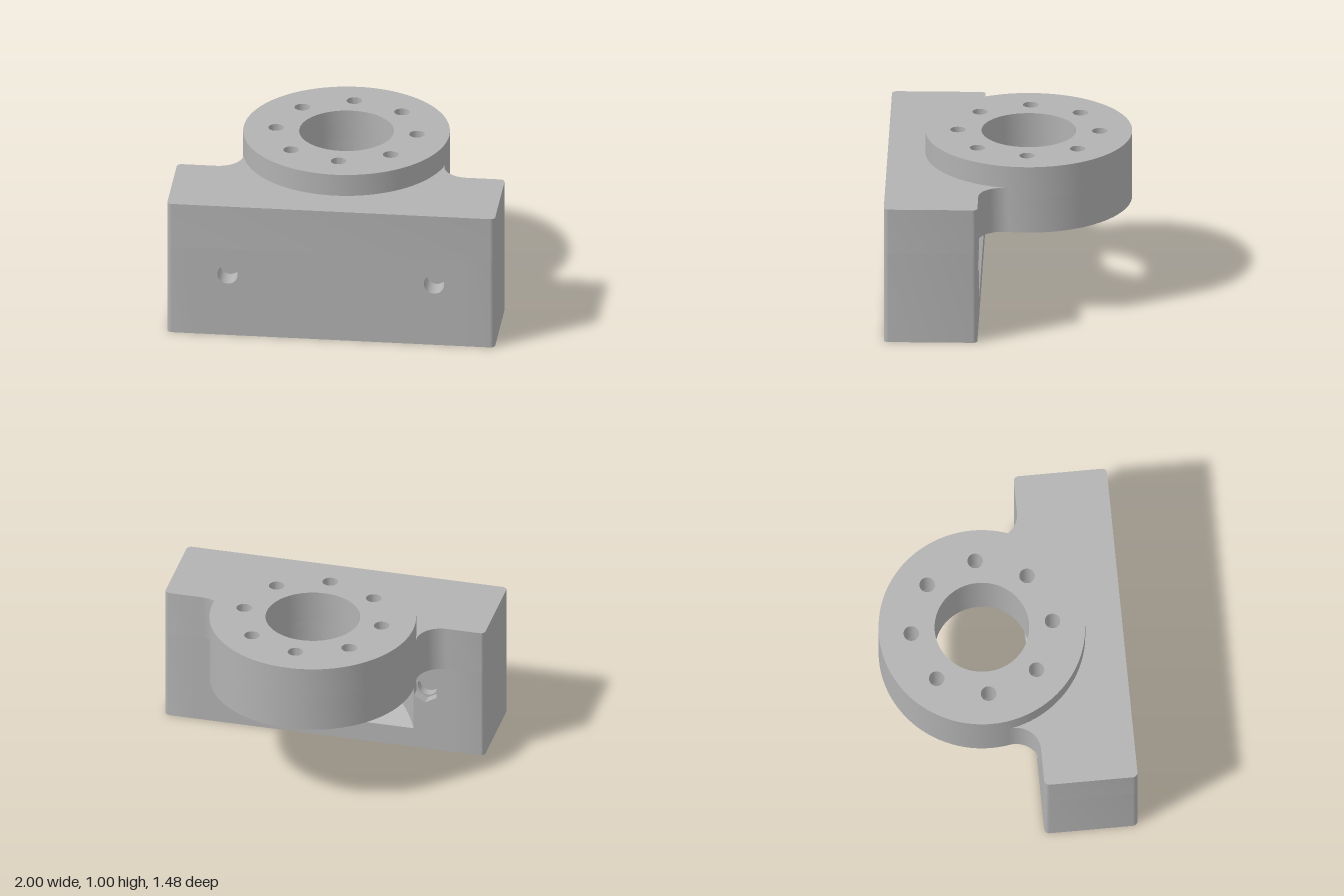
import * as THREE from 'three';
import { toCreasedNormals } from 'three/addons/utils/BufferGeometryUtils.js';

// Main dimensions
const RING_Z = -0.115, RING_R = 0.627, BORE_R = 0.287;
const BACK = 0.172, FRONT = 0.74, BLOCK_TOP = 0.86, RING_BOTTOM = 0.575;
const POCKET = { x0: 0.49, x1: 0.8, z0: 0.29, z1: 0.6 };
const SCREW_X = 0.63, SCREW_Y = 0.405, SCREW_R = 0.062;
const SCOOP_X = Math.sqrt(RING_R ** 2 - (BACK - RING_Z) ** 2);
const FILLET_R = 0.15, CORNER_R = 0.03;

export function createModel() {
  const model = new THREE.Group();
  const grey = new THREE.MeshStandardMaterial({ color: 0xb2b2b2, side: THREE.DoubleSide });
  grey.name = 'grey plastic';

  const add = (name, geometry) => {
    const mesh = new THREE.Mesh(geometry, grey);
    mesh.name = name;
    model.add(mesh);
    return mesh;
  };
  const box = (name, x0, x1, y0, y1, z0, z1) =>
    add(name, new THREE.BoxGeometry(x1 - x0, y1 - y0, z1 - z0)
      .translate((x0 + x1) / 2, (y0 + y1) / 2, (z0 + z1) / 2));

  // Points along an arc, in either direction
  const arc = (cx, cy, r, a0, a1, n) => Array.from({ length: n + 1 }, (_, i) => {
    const a = a0 + (a1 - a0) * i / n;
    return new THREE.Vector2(cx + r * Math.cos(a), cy + r * Math.sin(a));
  });
  const circle = (x, y, r, n = 32, turn = 0) =>
    new THREE.Path(arc(x, y, r, turn, turn + Math.PI * 2, n).slice(0, -1));
  const rect = (x0, x1, y0, y1) => new THREE.Shape([
    new THREE.Vector2(x0, y0), new THREE.Vector2(x1, y0),
    new THREE.Vector2(x1, y1), new THREE.Vector2(x0, y1)]);
  const extrude = (shape, depth) => toCreasedNormals(
    new THREE.ExtrudeGeometry(shape, { depth, bevelEnabled: false, curveSegments: 32 }), 0.5);
  // Plan shapes use (x, -z) and rise from y0 to y1
  const plan = (name, shape, y0, y1) =>
    add(name, extrude(shape, y1 - y0).rotateX(-Math.PI / 2).translate(0, y0, 0));
  // Upright plates use (x, y) and run from z0 to z1
  const upright = (name, shape, z0, z1) =>
    add(name, extrude(shape, z1 - z0).translate(0, 0, z0));

  // Ring in two layers: counterbored below, narrow screw holes above
  const ringLayer = (name, holeR, y0, y1) => {
    const shape = new THREE.Shape(arc(0, -RING_Z, RING_R, 0, Math.PI * 2, 96).slice(0, -1));
    shape.holes.push(circle(0, -RING_Z, BORE_R, 64));
    for (let i = 0; i < 8; i++) {
      const a = i * Math.PI / 4;
      shape.holes.push(circle(0.43 * Math.cos(a), -RING_Z + 0.43 * Math.sin(a), holeR));
    }
    plan(name, shape, y0, y1);
  };
  ringLayer('ringCounterbores', 0.088, RING_BOTTOM, 0.8);
  ringLayer('ringTop', 0.047, 0.8, 1);

  // Upper part of the block, wrapped around the ring with blended corners
  const PI = Math.PI, c = CORNER_R;
  const filletS = -BACK + FILLET_R;
  const rise = -RING_Z - filletS;
  const filletX = Math.sqrt((RING_R + FILLET_R) ** 2 - rise ** 2);
  const tilt = Math.atan2(rise, filletX);
  plan('blockTop', new THREE.Shape([
    ...arc(-1 + c, -FRONT + c, c, PI, PI * 1.5, 6),
    ...arc(1 - c, -FRONT + c, c, -PI / 2, 0, 6),
    ...arc(1 - c, -BACK - c, c, 0, PI / 2, 6),
    ...arc(filletX, filletS, FILLET_R, PI * 1.5, PI - tilt, 16),
    ...arc(0, -RING_Z, RING_R, -tilt, -PI + tilt, 64).slice(1, -1),
    ...arc(-filletX, filletS, FILLET_R, tilt, -PI / 2, 16),
    ...arc(-1 + c, -BACK - c, c, PI / 2, PI, 6),
  ]), RING_BOTTOM, BLOCK_TOP);

  // Front wall with two screw holes
  const { x0, x1, z0, z1 } = POCKET;
  const frontShape = rect(-x1, x1, 0, RING_BOTTOM);
  for (const s of [-1, 1]) frontShape.holes.push(circle(s * SCREW_X, SCREW_Y, SCREW_R));
  upright('frontWall', frontShape, z1, FRONT);

  for (const s of [-1, 1]) {
    const side = s > 0 ? 'left' : 'right';
    const span = (a, b) => (s > 0 ? [a, b] : [-b, -a]);

    // Solid end with rounded upright edges
    const end = [
      new THREE.Vector2(x1, -FRONT),
      ...arc(1 - c, -FRONT + c, c, -PI / 2, 0, 6),
      ...arc(1 - c, -BACK - c, c, 0, PI / 2, 6),
      new THREE.Vector2(x1, -BACK),
    ].map((p) => new THREE.Vector2(p.x * s, p.y));
    plan(side + 'End', new THREE.Shape(end), 0, RING_BOTTOM);

    // Back wall: hexagonal nut recess outside, screw hole behind it
    const backWall = (name, hole, za, zb) => {
      const shape = rect(...span(SCOOP_X, x1), 0, RING_BOTTOM);
      shape.holes.push(hole);
      upright(name, shape, za, zb);
    };
    backWall(side + 'NutRecess', circle(s * SCREW_X, SCREW_Y, 0.082, 6, PI / 6), BACK, 0.235);
    backWall(side + 'BackWall', circle(s * SCREW_X, SCREW_Y, SCREW_R), 0.235, z0);

    // Inner walls closing the square pocket
    box(side + 'PocketBack', ...span(x0, SCOOP_X), 0, RING_BOTTOM, z0 - 0.01, z0);
    box(side + 'PocketSide', ...span(x0 - 0.01, x0), 0, RING_BOTTOM, z0, z1);
  }

  // Base between the pockets
  box('baseMiddle', -x0, x0, 0, 0.12, z0, z1);
  box('baseBack', -SCOOP_X, SCOOP_X, 0, 0.13, BACK, z0);

  // Scoop below the ring: round wall and sloping floor
  const floorY = (z) => 0.13 + 0.5 * (z - BACK);
  const half = Math.acos((BACK - RING_Z) / RING_R);
  const wall = new THREE.CylinderGeometry(RING_R, RING_R, 1, 48, 1, true, -half, half * 2)
    .translate(0, 0, RING_Z);
  const wp = wall.attributes.position;
  for (let i = 0; i < wp.count; i++) wp.setY(i, wp.getY(i) > 0 ? RING_BOTTOM : floorY(wp.getZ(i)));
  add('scoopWall', wall);

  const floor = new THREE.ShapeGeometry(
    new THREE.Shape(arc(0, -RING_Z, RING_R, -PI / 2 - half, -PI / 2 + half, 48))).rotateX(-PI / 2);
  const fp = floor.attributes.position;
  for (let i = 0; i < fp.count; i++) fp.setY(i, floorY(fp.getZ(i)));
  floor.computeVertexNormals();
  add('scoopFloor', floor);

  return model;
}
